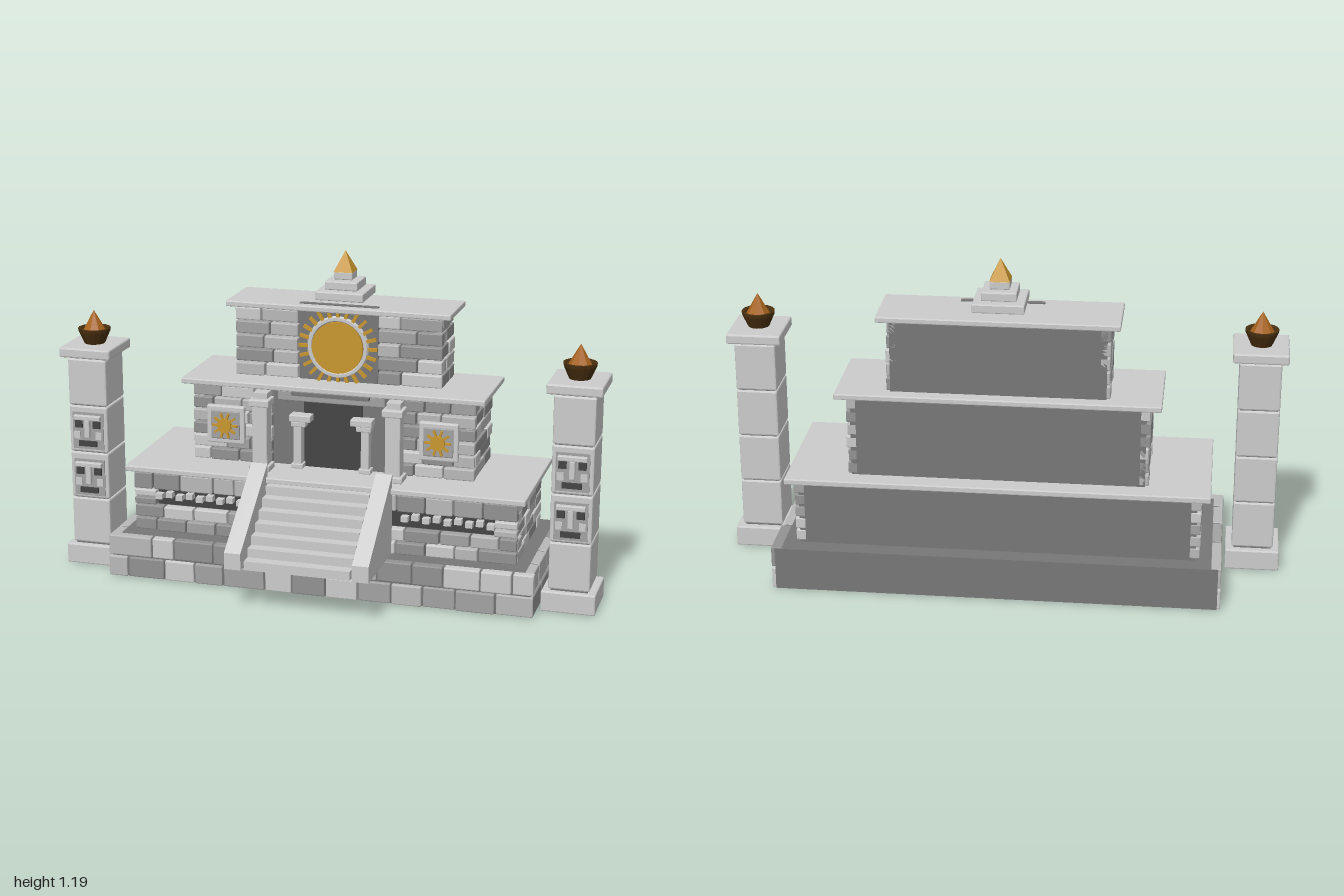
import * as THREE from 'three';
import { RoundedBoxGeometry } from 'three/addons/geometries/RoundedBoxGeometry.js';

const mat = (color) => new THREE.MeshStandardMaterial({ color, flatShading: true });
const stone = mat(0xcccccc);
const core = mat(0x777777);
const dark = mat(0x444444);
const gold = mat(0xc8962e);
const bronze = mat(0x4a3010);
const flameMat = mat(0xa8641c);
const brickTones = [stone, mat(0xb8b8b8), mat(0xa2a2a2), mat(0x929292)];

let seed = 11;
const rnd = () => (seed = (seed * 16807) % 2147483647) / 2147483647;

function add(parent, name, geometry, material, x = 0, y = 0, z = 0) {
  const mesh = new THREE.Mesh(geometry, material);
  mesh.name = name;
  mesh.position.set(x, y, z);
  parent.add(mesh);
  return mesh;
}

// box given by its min and max on each axis; bevel chamfers the edges
function block(parent, name, [x0, x1], [y0, y1], [z0, z1], material = stone, bevel = 0) {
  const size = [x1 - x0, y1 - y0, z1 - z0];
  const geo = bevel ? new RoundedBoxGeometry(...size, 1, bevel) : new THREE.BoxGeometry(...size);
  return add(parent, name, geo, material, (x0 + x1) / 2, (y0 + y1) / 2, (z0 + z1) / 2);
}

function group(parent, name) {
  const g = new THREE.Group();
  g.name = name;
  parent.add(g);
  return g;
}

// courses of uneven bricks along u; place(brick range in u, range in y, relief)
function courses([u0, u1], [y0, y1], rows, length, place) {
  const h = (y1 - y0) / rows, gap = 0.003;
  for (let r = 0; r < rows; r++) {
    const n = Math.max(1, Math.round((u1 - u0) / length));
    const cuts = [u0];
    for (let i = 1; i < n; i++) {
      const shift = (r % 2 ? 0.25 : -0.2) + (rnd() - 0.5) * 0.35;
      cuts.push(u0 + ((u1 - u0) * (i + shift)) / n);
    }
    cuts.push(u1);
    for (let i = 0; i < n; i++) {
      place([cuts[i] + gap, cuts[i + 1] - gap], [y0 + r * h + gap, y0 + (r + 1) * h - gap], rnd() * 0.008);
    }
  }
}

const tone = () => brickTones[Math.floor(rnd() * brickTones.length)];

function frontBricks(parent, xs, ys, rows, length, face) {
  courses(xs, ys, rows, length, (u, y, d) =>
    block(parent, 'frontBrick', u, y, [face - 0.04, face - d], tone(), 0.004));
}

function sideBricks(parent, zs, ys, rows, length, face) {
  for (const s of [-1, 1]) {
    courses(zs, ys, rows, length, (u, y, d) => {
      const xs = [s * (face - 0.04), s * (face - d)].sort((a, b) => a - b);
      block(parent, 'sideBrick', xs, y, u, tone(), 0.004);
    });
  }
}

// sun disc with a ring of rays, facing +z
function sun(parent, name, x, y, z, r, rays, rayIn, rayOut, rayWidth) {
  const g = group(parent, name);
  g.position.set(x, y, z);
  add(g, 'sunDisc', new THREE.CylinderGeometry(r, r, 0.014, 32).rotateX(Math.PI / 2), gold, 0, 0, 0.003);
  for (let i = 0; i < rays; i++) {
    const geo = new THREE.BoxGeometry(rayOut - rayIn, rayWidth, 0.01);
    geo.translate((rayIn + rayOut) / 2, 0, 0).rotateZ((i / rays) * Math.PI * 2);
    add(g, 'sunRay', geo, gold);
  }
  return g;
}

// corner tower with carved faces and a fire bowl
function tower(parent, side) {
  const g = group(parent, side > 0 ? 'leftTower' : 'rightTower');
  g.position.x = side * 0.9;
  block(g, 'towerBase', [-0.097, 0.097], [0, 0.076], [-0.1, 0.105], stone, 0.005);
  for (let i = 0; i < 4; i++) {
    const y = 0.082 + i * 0.178;
    block(g, 'towerBlock', [-0.074, 0.074], [y, y + 0.175], [-0.081, 0.092], stone, 0.006);
  }
  block(g, 'towerCore', [-0.066, 0.066], [0.05, 0.81], [-0.074, 0.084], core);
  block(g, 'towerCap', [-0.098, 0.098], [0.798, 0.835], [-0.103, 0.113], stone, 0.006);
  for (const y of [0.345, 0.525]) {
    const f = group(g, 'carvedFace');
    f.position.set(0, y, 0.092);
    block(f, 'facePanel', [-0.06, 0.06], [-0.075, 0.065], [-0.004, 0.004], brickTones[2]);
    for (const s of [-1, 1]) {
      block(f, 'eye', [s * 0.035 - 0.014, s * 0.035 + 0.014], [0.008, 0.034], [0, 0.012], dark);
      block(f, 'cheek', [s * 0.042 - 0.012, s * 0.042 + 0.012], [-0.035, -0.008], [0, 0.01]);
    }
    block(f, 'brow', [-0.052, 0.052], [0.038, 0.056], [0, 0.02], stone, 0.003);
    block(f, 'nose', [-0.01, 0.01], [-0.028, 0.04], [0, 0.02], stone, 0.003);
    block(f, 'mouth', [-0.035, 0.035], [-0.062, -0.042], [0, 0.014], dark);
  }
  const bowl = [[0, 0.835], [0.038, 0.835], [0.058, 0.88], [0.06, 0.892], [0.05, 0.892], [0.04, 0.878], [0, 0.878]];
  add(g, 'fireBowl', new THREE.LatheGeometry(bowl.map((p) => new THREE.Vector2(...p)), 16), bronze, 0, 0, 0.005);
  const flame = [[0.046, 0.878], [0.03, 0.905], [0.016, 0.93], [0, 0.957]];
  add(g, 'flame', new THREE.LatheGeometry(flame.map((p) => new THREE.Vector2(...p)), 8), flameMat, 0, 0, 0.005);
}

export function createModel() {
  const model = new THREE.Group();
  model.name = 'steppedTemple';

  // plinth
  const plinth = group(model, 'plinth');
  block(plinth, 'plinthCore', [-0.78, 0.78], [0.002, 0.157], [-0.425, 0.18], core);
  frontBricks(plinth, [-0.795, 0.795], [0, 0.162], 2, 0.125, 0.196);
  sideBricks(plinth, [-0.425, 0.19], [0, 0.162], 2, 0.16, 0.795);

  // lower tier, with a recessed frieze either side of the stairs
  const lower = group(model, 'lowerTier');
  block(lower, 'lowerCore', [-0.7, 0.7], [0.15, 0.39], [-0.36, 0.085], core);
  block(lower, 'lowerSlab', [-0.745, 0.745], [0.39, 0.412], [-0.39, 0.132], stone, 0.004);
  sideBricks(lower, [-0.365, 0.1], [0.162, 0.39], 5, 0.11, 0.718);
  for (const s of [-1, 1]) {
    const span = (a, b) => [s * a, s * b].sort((p, q) => p - q);
    frontBricks(lower, span(0.19, 0.718), [0.162, 0.262], 2, 0.11, 0.12);
    frontBricks(lower, span(0.19, 0.718), [0.322, 0.39], 1, 0.11, 0.12);
    frontBricks(lower, span(0.63, 0.718), [0.262, 0.322], 2, 0.09, 0.12);
    block(lower, 'friezeBack', span(0.2, 0.63), [0.262, 0.322], [0.07, 0.09], dark);
    for (let i = 0; i < 9; i++) {
      const x = 0.295 + i * 0.039;
      const y = 0.288 + (i % 2) * 0.008;
      block(lower, 'friezeTooth', span(x, x + 0.026), [y, y + 0.02], [0.08, 0.118]);
    }
  }

  // middle tier with doorway
  const middle = group(model, 'middleTier');
  block(middle, 'middleCore', [-0.515, 0.515], [0.4, 0.7], [-0.32, -0.05], core);
  block(middle, 'middleSlab', [-0.567, 0.567], [0.703, 0.724], [-0.348, 0.002], stone, 0.004);
  sideBricks(middle, [-0.323, -0.03], [0.412, 0.703], 6, 0.12, 0.532);
  block(middle, 'doorRecess', [-0.11, 0.11], [0.412, 0.68], [-0.055, -0.044], dark);
  block(middle, 'lintel', [-0.2, 0.2], [0.665, 0.703], [-0.06, -0.012], brickTones[2], 0.004);
  block(middle, 'lintelTrim', [-0.145, 0.145], [0.69, 0.702], [-0.03, 0.005], core);
  for (const s of [-1, 1]) {
    const span = (a, b) => [s * a, s * b].sort((p, q) => p - q);
    frontBricks(middle, span(0.225, 0.532), [0.412, 0.703], 6, 0.1, -0.018);
    // door jamb with stepped capital
    block(middle, 'doorJamb', span(0.112, 0.142), [0.412, 0.6], [-0.05, -0.01], stone, 0.003);
    block(middle, 'jambFoot', span(0.105, 0.15), [0.412, 0.43], [-0.05, -0.005], stone, 0.003);
    block(middle, 'jambCapital', span(0.095, 0.15), [0.57, 0.59], [-0.05, -0.006], stone, 0.003);
    block(middle, 'jambCapitalTop', span(0.075, 0.155), [0.59, 0.615], [-0.05, 0], stone, 0.003);
    // porch column
    block(middle, 'porchColumn', span(0.22, 0.276), [0.43, 0.665], [0.005, 0.061], stone, 0.004);
    block(middle, 'columnFoot', span(0.21, 0.286), [0.412, 0.435], [-0.004, 0.071], stone, 0.004);
    block(middle, 'columnCapital', span(0.21, 0.286), [0.655, 0.682], [-0.004, 0.071], stone, 0.004);
    block(middle, 'columnTop', span(0.222, 0.274), [0.68, 0.703], [-0.02, 0.05]);
    // small sun plaque
    block(middle, 'sunPlaque', [s * 0.4 - 0.072, s * 0.4 + 0.072], [0.485, 0.627], [-0.03, -0.006], stone, 0.005);
    block(middle, 'plaqueField', [s * 0.4 - 0.055, s * 0.4 + 0.055], [0.502, 0.61], [-0.02, -0.001], brickTones[2], 0.004);
    sun(middle, 'smallSun', s * 0.4, 0.556, 0.004, 0.026, 10, 0.02, 0.048, 0.008);
  }

  // upper tier with the great sun
  const upper = group(model, 'upperTier');
  block(upper, 'upperCore', [-0.375, 0.375], [0.71, 0.985], [-0.3, -0.128], core);
  block(upper, 'upperSlab', [-0.42, 0.42], [0.983, 1.004], [-0.325, -0.083], stone, 0.004);
  sideBricks(upper, [-0.303, -0.105], [0.724, 0.983], 5, 0.1, 0.39);
  frontBricks(upper, [-0.39, -0.148], [0.724, 0.983], 5, 0.1, -0.095);
  frontBricks(upper, [0.148, 0.39], [0.724, 0.983], 5, 0.1, -0.095);
  block(upper, 'sunPanel', [-0.147, 0.147], [0.715, 1.008], [-0.133, -0.114], core);
  sun(upper, 'greatSun', 0, 0.853, -0.103, 0.096, 24, 0.105, 0.148, 0.012);
  add(upper, 'sunRing', new THREE.TorusGeometry(0.105, 0.011, 6, 40), stone, 0, 0.853, -0.105);

  // stepped finial
  const finial = group(model, 'finial');
  for (const [half, y0, y1] of [[0.09, 1.02, 1.052], [0.061, 1.054, 1.086], [0.035, 1.088, 1.118]]) {
    block(finial, 'finialStep', [-half, half], [y0, y1], [-0.204 - half, -0.204 + half], stone, 0.004);
  }
  const pyramid = new THREE.ConeGeometry(0.05, 0.076, 4).rotateY(Math.PI / 4);
  add(finial, 'finialTip', pyramid, gold, 0, 1.153, -0.204);

  // stairs and sloping side walls
  const stairs = group(model, 'stairs');
  const steps = 7;
  for (let i = 0; i < steps; i++) {
    const y = 0.165 + (i * 0.228) / steps;
    block(stairs, 'step', [-0.192, 0.192], [y, y + 0.228 / steps], [0.1, 0.422 - (i * 0.3) / steps]);
  }
  const rail = new THREE.Shape([[-0.43, 0.165], [-0.112, 0.165], [-0.112, 0.46], [-0.43, 0.225]]
    .map((p) => new THREE.Vector2(...p)));
  const railGeo = new THREE.ExtrudeGeometry(rail, { depth: 0.06, bevelEnabled: false }).rotateY(Math.PI / 2);
  for (const x of [0.202, -0.262]) add(stairs, 'stairWall', railGeo, stone, x);

  // towers
  for (const side of [-1, 1]) tower(model, side);
  return model;
}
